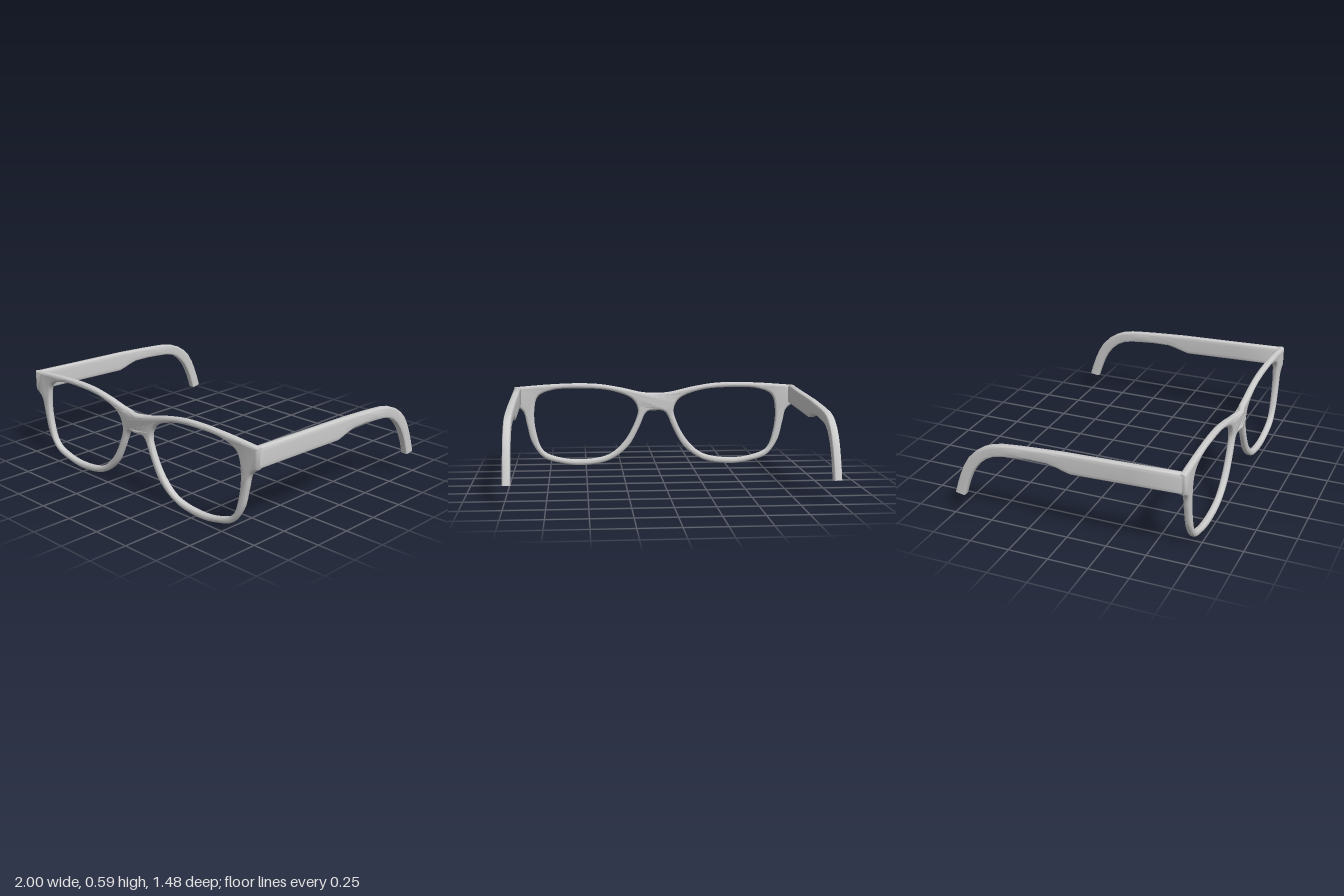
import * as THREE from 'three';
import { toCreasedNormals } from 'three/addons/utils/BufferGeometryUtils.js';

const material = new THREE.MeshStandardMaterial({ color: 0xcccccc });

// Smooth 2D curve through [x, y] pairs
function smooth(pairs, count, closed = false) {
  const pts = pairs.map(([x, y]) => new THREE.Vector3(x, y, 0));
  return new THREE.CatmullRomCurve3(pts, closed, 'centripetal')
    .getSpacedPoints(count).map(p => new THREE.Vector2(p.x, p.y));
}

const mirror = pairs => pairs.map(([x, y]) => [-x, y]);

// Front frame: outline with two lens openings, rounded edges, bridge pushed forward
function frontGeometry() {
  const topHalf = [[0.998, 0.567], [0.76, 0.585], [0.55, 0.592], [0.4, 0.585], [0.25, 0.56], [0.1, 0.526]];
  const lowHalf = [[0.05, 0.39], [0.075, 0.372], [0.123, 0.267], [0.2, 0.135], [0.337, 0.037],
    [0.535, 0.004], [0.685, 0.023], [0.8, 0.063], [0.88, 0.17], [0.915, 0.3], [0.94, 0.395], [0.998, 0.442]];
  const lens = [[0.535, 0.556], [0.74, 0.544], [0.835, 0.5], [0.862, 0.4], [0.85, 0.24], [0.8, 0.112],
    [0.685, 0.062], [0.524, 0.046], [0.337, 0.08], [0.23, 0.17], [0.15, 0.31], [0.128, 0.4],
    [0.166, 0.475], [0.31, 0.535]];

  const top = smooth([...topHalf, [0, 0.518], ...mirror(topHalf).reverse()], 120);
  const low = smooth([...mirror(lowHalf).reverse(), [0, 0.392], ...lowHalf], 200);
  const shape = new THREE.Shape([...low, ...top]);
  for (const pairs of [lens, mirror(lens)]) {
    shape.holes.push(new THREE.Path(smooth(pairs, 110, true).slice(0, -1)));
  }

  const geo = new THREE.ExtrudeGeometry(shape, {
    depth: 0.008, bevelEnabled: true, bevelSize: 0.017, bevelOffset: -0.017,
    bevelThickness: 0.017, bevelSegments: 5,
  });
  geo.translate(0, 0, 0.701);

  // Bridge bump
  const pos = geo.attributes.position;
  for (let i = 0; i < pos.count; i++) {
    const x = Math.abs(pos.getX(i));
    if (x < 0.09) pos.setZ(i, pos.getZ(i) + 0.014 * Math.cos(x / 0.09 * Math.PI / 2) ** 2);
  }
  return toCreasedNormals(geo, 1);
}

// Temple arm: soft rectangular cross-sections between an upper and a lower edge
function templeGeometry() {
  // [z top, y top, z bottom, y bottom]
  const stations = [
    [0.714, 0.562, 0.714, 0.447], [0.706, 0.568, 0.706, 0.442], [0.4, 0.558, 0.4, 0.433],
    [0.1, 0.549, 0.1, 0.424], [0.03, 0.547, 0.03, 0.422], [-0.02, 0.545, -0.016, 0.434],
    [-0.07, 0.542, -0.066, 0.45], [-0.12, 0.539, -0.116, 0.462], [-0.235, 0.532, -0.235, 0.461],
    [-0.33, 0.525, -0.325, 0.455], [-0.414, 0.517, -0.41, 0.447], [-0.48, 0.503, -0.465, 0.434],
    [-0.534, 0.481, -0.514, 0.41], [-0.588, 0.445, -0.556, 0.375], [-0.633, 0.4, -0.594, 0.33],
    [-0.667, 0.345, -0.622, 0.282], [-0.693, 0.288, -0.645, 0.23], [-0.72, 0.215, -0.662, 0.182],
    [-0.741, 0.146, -0.677, 0.135],
  ];
  const sides = 28, halfWidth = 0.024;
  const soft = v => Math.sign(v) * Math.abs(v) ** 0.35;
  const positions = [], index = [];

  stations.forEach(([zt, yt, zb, yb], i) => {
    for (let j = 0; j < sides; j++) {
      const a = j / sides * Math.PI * 2;
      const k = (soft(Math.sin(a)) + 1) / 2;
      const w = i === 0 ? halfWidth - 0.006 : halfWidth;
      positions.push(w * soft(Math.cos(a)), yb + (yt - yb) * k, zb + (zt - zb) * k);
    }
  });
  const last = stations.length - 1;
  for (const s of [stations[0], stations[last]]) {
    positions.push(0, (s[1] + s[3]) / 2, (s[0] + s[2]) / 2);
  }

  const ringEnd = stations.length * sides;
  for (let j = 0; j < sides; j++) {
    const n = (j + 1) % sides;
    for (let i = 0; i < last; i++) {
      const a = i * sides + j, b = i * sides + n;
      index.push(a, a + sides, b, b, a + sides, b + sides);
    }
    index.push(ringEnd, j, n, ringEnd + 1, last * sides + n, last * sides + j);
  }

  const geo = new THREE.BufferGeometry();
  geo.setAttribute('position', new THREE.Float32BufferAttribute(positions, 3));
  geo.setIndex(index);
  return toCreasedNormals(geo, 1);
}

export function createModel() {
  const group = new THREE.Group();
  group.name = 'eyeglasses';

  const front = new THREE.Mesh(frontGeometry(), material);
  front.name = 'frontFrame';
  group.add(front);

  const arm = templeGeometry();
  for (const [name, side] of [['leftTemple', 1], ['rightTemple', -1]]) {
    const temple = new THREE.Mesh(arm, material);
    temple.name = name;
    temple.position.x = side * 0.976;
    group.add(temple);
  }
  return group;
}
